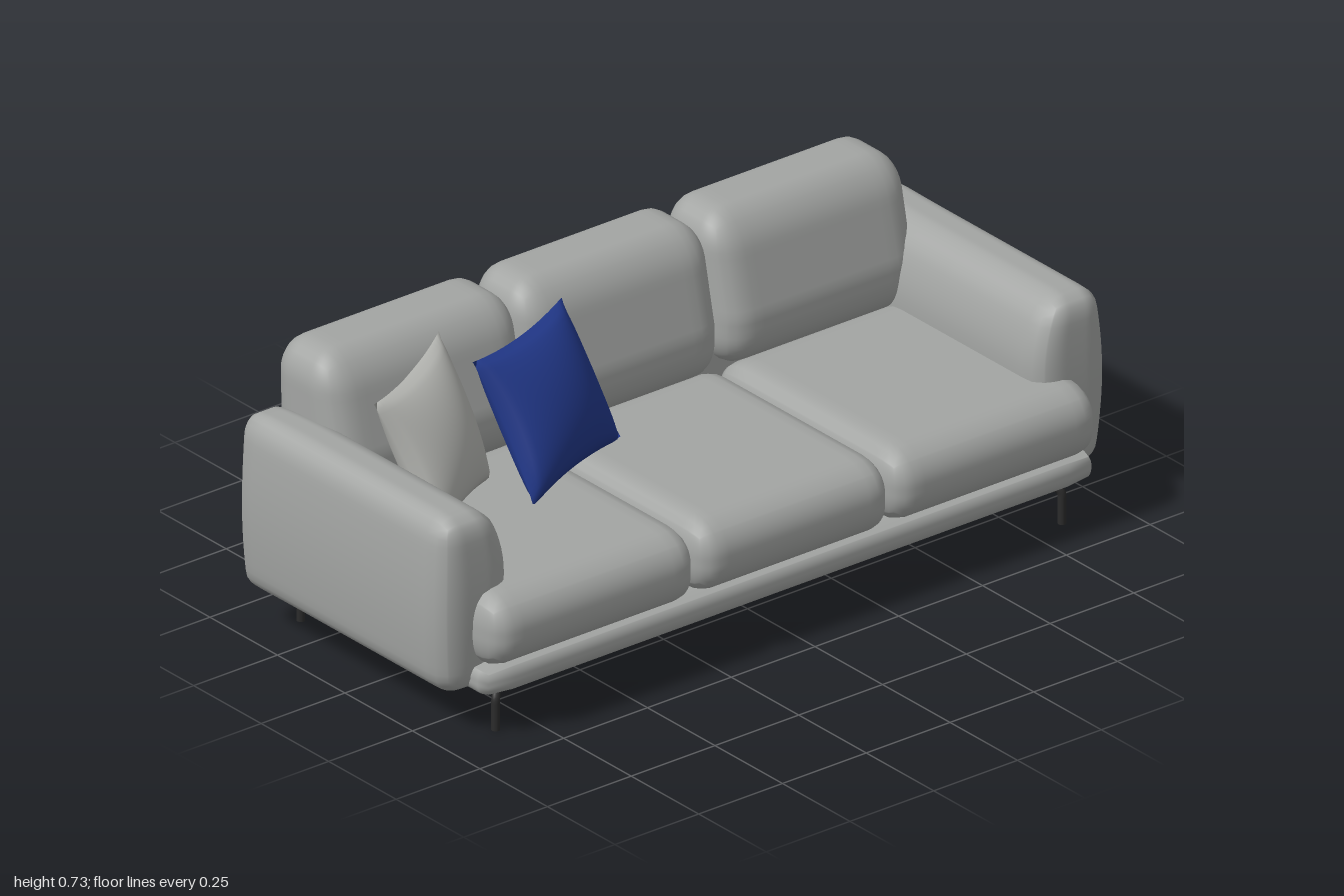
import * as THREE from 'three';
import { mergeGeometries, mergeVertices } from 'three/addons/utils/BufferGeometryUtils.js';

const mat = (name, color) => new THREE.MeshStandardMaterial({ name, color });
const clamp = THREE.MathUtils.clamp;

// Moves every vertex by a rule, then welds the surface smooth
function reshape(geo, rule) {
  geo.deleteAttribute('uv');
  geo.deleteAttribute('normal');
  const pos = geo.attributes.position, p = new THREE.Vector3();
  for (let i = 0; i < pos.count; i++) {
    p.fromBufferAttribute(pos, i);
    rule(p);
    pos.setXYZ(i, p.x, p.y, p.z);
  }
  const out = mergeVertices(geo, 1e-5);
  out.computeVertexNormals();
  return out;
}

// Upholstered block between two corners, with a rounding radius per axis
function softBox(min, max, radius, rule = () => {}) {
  const lo = new THREE.Vector3(...min), hi = new THREE.Vector3(...max);
  const r = new THREE.Vector3(...radius);
  const size = hi.clone().sub(lo), mid = hi.clone().add(lo).multiplyScalar(0.5);
  const inner = size.clone().multiplyScalar(0.5).sub(r), core = new THREE.Vector3();
  return reshape(new THREE.BoxGeometry(size.x, size.y, size.z, 22, 22, 22), (p) => {
    core.copy(p).clamp(inner.clone().negate(), inner);
    p.sub(core).divide(r).normalize().multiply(r).add(core).add(mid);
    rule(p);
  });
}

// Throw pillow spanning four corners, pinched along the edges
function pillow(corners, thickness) {
  const [tl, tr, bl, br] = corners.map((c) => new THREE.Vector3(...c));
  const normal = tr.clone().sub(tl).cross(tl.clone().sub(bl)).normalize();
  const sheet = (turn) => new THREE.PlaneGeometry(2, 2, 24, 24).rotateY(turn).translate(0, 0, turn ? -1 : 1);
  const top = new THREE.Vector3(), low = new THREE.Vector3();
  return reshape(mergeGeometries([sheet(0), sheet(Math.PI)]), (p) => {
    const { x, y, z } = p;
    const u = x * (1 - 0.09 * (1 - y * y)), v = y * (1 - 0.09 * (1 - x * x));
    const puff = Math.pow(Math.max(0, (1 - x * x) * (1 - y * y)), 0.55) * thickness;
    top.lerpVectors(tl, tr, (u + 1) / 2);
    low.lerpVectors(bl, br, (u + 1) / 2);
    p.lerpVectors(low, top, (v + 1) / 2).addScaledVector(normal, z * puff);
  });
}

// Bent metal rod through points, with rounded corners and closed ends
function rod(points, radius, material) {
  const pts = points.map((q) => new THREE.Vector3(...q));
  const path = new THREE.CurvePath(), bend = 0.022;
  let from = pts[0];
  for (let i = 1; i < pts.length - 1; i++) {
    const a = pts[i].clone().add(pts[i - 1].clone().sub(pts[i]).setLength(bend));
    const b = pts[i].clone().add(pts[i + 1].clone().sub(pts[i]).setLength(bend));
    path.add(new THREE.LineCurve3(from, a));
    path.add(new THREE.QuadraticBezierCurve3(a, pts[i], b));
    from = b;
  }
  path.add(new THREE.LineCurve3(from, pts[pts.length - 1]));
  const group = new THREE.Group();
  group.add(new THREE.Mesh(new THREE.TubeGeometry(path, 64, radius, 12), material));
  for (const [end, next] of [[pts[0], pts[1]], [pts.at(-1), pts.at(-2)]]) {
    const cap = new THREE.Mesh(new THREE.CircleGeometry(radius, 12), material);
    cap.position.copy(end);
    cap.lookAt(end.clone().multiplyScalar(2).sub(next));
    group.add(cap);
  }
  return group;
}

export function createModel() {
  const model = new THREE.Group();
  model.name = 'sofa';
  const fabric = mat('grey fabric', 0xa3a5a3);
  const paleFabric = mat('pale grey fabric', 0xb2b3af);
  const blueFabric = mat('blue fabric', 0x213787);
  const metal = mat('dark metal', 0x2b2b2b);
  const add = (name, geo, material = fabric) => {
    const mesh = new THREE.Mesh(geo, material);
    mesh.name = name;
    model.add(mesh);
  };

  // Base and back panel
  add('base', softBox([-0.91, 0.106, -0.42], [0.91, 0.187, 0.417], [0.035, 0.035, 0.035]));
  add('backPanel', softBox([-0.875, 0.106, -0.43], [0.875, 0.55, -0.25], [0.04, 0.05, 0.05], (p) => {
    const t = clamp((p.y - 0.106) / 0.444, 0, 1);
    if (p.z < -0.34) p.z -= 0.022 * Math.sin(Math.PI * t);
  }));

  // Arms: the inner side curves outward towards the top
  for (const [name, side] of [['leftArm', 1], ['rightArm', -1]]) {
    const ends = [side * 0.785, side];
    add(name, softBox([Math.min(...ends), 0.104, -0.42], [Math.max(...ends), 0.565, 0.362],
      [0.075, 0.055, 0.05], (p) => {
        const inward = clamp((1 - Math.abs(p.x)) / 0.215, 0, 1);
        const rise = clamp((p.y - 0.38) / 0.185, 0, 1), mid = (p.y - 0.335) / 0.23;
        const backward = clamp((-0.2 - p.z) / 0.22, 0, 1);
        p.x += side * inward * (0.06 * rise * rise + 0.03 * backward * backward);
        p.x -= side * (1 - inward) * 0.02 * mid * mid;
        if (p.z > 0) p.z -= 0.012 * mid * mid;
      }));
  }

  // Three seat cushions and three back cushions
  const seatEdges = [-0.91, -0.295, 0.285, 0.905], backEdges = [-0.875, -0.288, 0.283, 0.87];
  for (let i = 0; i < 3; i++) {
    add('seatCushion' + (i + 1), softBox([seatEdges[i], 0.18, -0.25], [seatEdges[i + 1], 0.37, 0.45],
      [0.05, 0.085, 0.09]));
    add('backCushion' + (i + 1), softBox([backEdges[i], 0.34, -0.442], [backEdges[i + 1], 0.725, -0.17],
      [0.075, 0.09, 0.09], (p) => {
        const rise = clamp((p.y - 0.48) / 0.24, 0, 1), front = clamp((p.z + 0.442) / 0.272, 0, 1);
        p.z -= 0.06 * rise * front;
      }));
  }

  // Throw pillows
  add('greyPillow', pillow([[-0.865, 0.685, -0.06], [-0.53, 0.7, -0.235],
    [-0.79, 0.365, 0.08], [-0.49, 0.365, -0.09]], 0.075), paleFabric);
  add('bluePillow', pillow([[-0.55, 0.685, -0.085], [-0.18, 0.685, -0.215],
    [-0.51, 0.365, 0.09], [-0.13, 0.365, -0.055]], 0.08), blueFabric);

  // Corner legs, bent diagonally inward under the base
  for (const sx of [1, -1]) for (const sz of [1, -1]) {
    const x = sx * 0.845, z = sz > 0 ? 0.366 : -0.356;
    const leg = rod([[x, 0, z], [x, 0.092, z], [x - sx * 0.15, 0.096, z - sz * 0.15]], 0.0105, metal);
    leg.name = (sz > 0 ? 'front' : 'back') + (sx > 0 ? 'Left' : 'Right') + 'Leg';
    model.add(leg);
  }

  // Middle support frame
  const middle = rod([[0, 0, 0.169], [0, 0.092, 0.169], [0, 0.092, -0.356], [0, 0, -0.356]], 0.0105, metal);
  middle.name = 'middleSupport';
  model.add(middle);
  return model;
}
